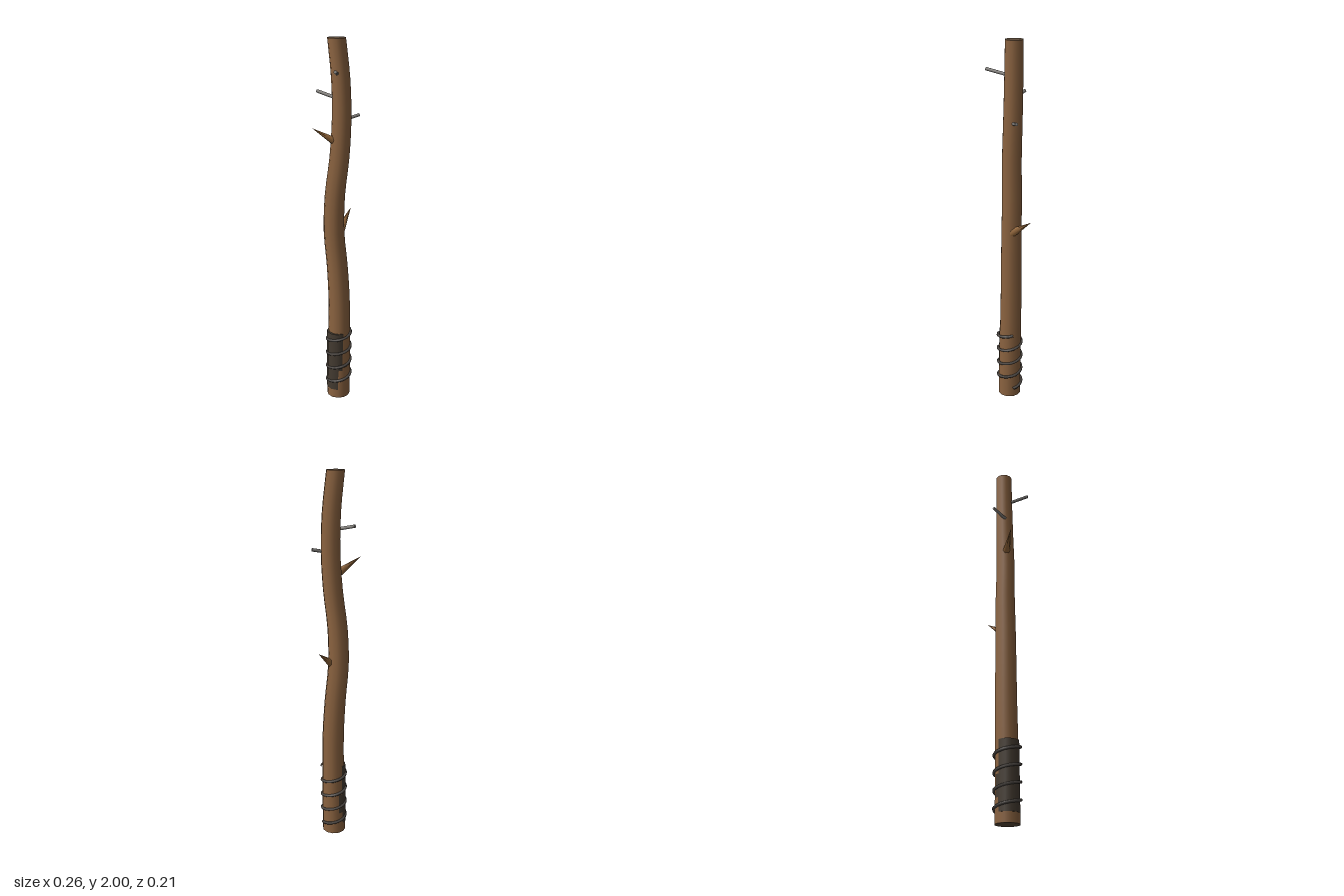
import * as THREE from 'three';

const mat = (name, color) => Object.assign(new THREE.MeshStandardMaterial({ color }), { name });
const v = (x, y, z) => new THREE.Vector3(x, y, z);

export function createModel() {
  const wood = mat('wood', 0x8b6340);
  const cutWood = mat('cut wood', 0x5a4938);
  const thornWood = mat('thorn wood', 0x96693c);
  const leather = mat('dark wrap', 0x443b31);
  const wire = mat('dark wire', 0x4b4642);
  const steel = mat('nail steel', 0x85827e);

  const group = new THREE.Group();
  group.name = 'spikedClub';
  const add = (name, geometry, material) => {
    const mesh = new THREE.Mesh(geometry, material);
    mesh.name = name;
    group.add(mesh);
    return mesh;
  };

  // crooked shaft: centre line at even heights, bending a tapered cylinder
  const spine = new THREE.CatmullRomCurve3([
    [0.008, 0], [0.012, 0], [0.015, -0.003], [0.015, -0.006], [0.005, -0.01], [-0.011, -0.016],
    [-0.005, -0.017], [0.017, -0.009], [0.03, -0.01], [0.027, -0.015], [0.008, -0.023],
  ].map(([x, z], i) => v(x, i * 0.2, z)));
  const shaft = new THREE.CylinderGeometry(0.046, 0.064, 2, 12, 30);
  shaft.translate(0, 1, 0);
  const p = shaft.attributes.position;
  for (let i = 0; i < p.count; i++) {
    const y = p.getY(i);
    const c = spine.getPoint(THREE.MathUtils.clamp(y / 2, 0, 1));
    p.setXYZ(i, p.getX(i) + c.x, y, p.getZ(i) + c.z);
  }
  add('shaft', shaft, [wood, cutWood, cutWood]);

  // straight grip wrap, partly sunk into the shaft
  add('gripWrap', new THREE.CylinderGeometry(0.058, 0.061, 0.355, 12), leather)
    .position.set(0.002, 0.23, 0);

  // wire coiled four times round the grip
  const coil = [];
  for (let i = 0; i <= 64; i++) {
    const a = (i / 64) * Math.PI * 8;
    coil.push(v(0.01 + 0.066 * Math.cos(a), 0.055 + 0.35 * i / 64, -0.066 * Math.sin(a)));
  }
  add('wireCoil', new THREE.TubeGeometry(new THREE.CatmullRomCurve3(coil), 160, 0.008, 6), wire);

  // tapered rod from one point to another
  const rod = (name, from, to, r0, r1, sides, material) => {
    const dir = to.clone().sub(from);
    const mesh = add(name, new THREE.CylinderGeometry(r1, r0, dir.length(), sides), material);
    mesh.position.copy(from).addScaledVector(dir, 0.5);
    mesh.quaternion.setFromUnitVectors(v(0, 1, 0), dir.normalize());
  };

  // three nails at thirds of a turn
  [[0, 1.615], [1, 1.855], [2, 1.735]].forEach(([k, y], i) => {
    const a = k * Math.PI * 2 / 3, c = Math.cos(a), s = Math.sin(a);
    rod('nail' + (i + 1), v(0.02 * c, y - 0.022, 0.02 * s), v(0.125 * c, y, 0.117 * s),
      0.0085, 0.0085, 8, steel);
  });

  // broken twig thorns
  rod('rightThorn', v(0, 1.485, -0.013), v(-0.13, 1.567, -0.021), 0.024, 0, 6, thornWood);
  rod('leftThorn', v(0.025, 1.005, -0.01), v(0.124, 1.092, -0.08), 0.024, 0, 6, thornWood);

  return group;
}
